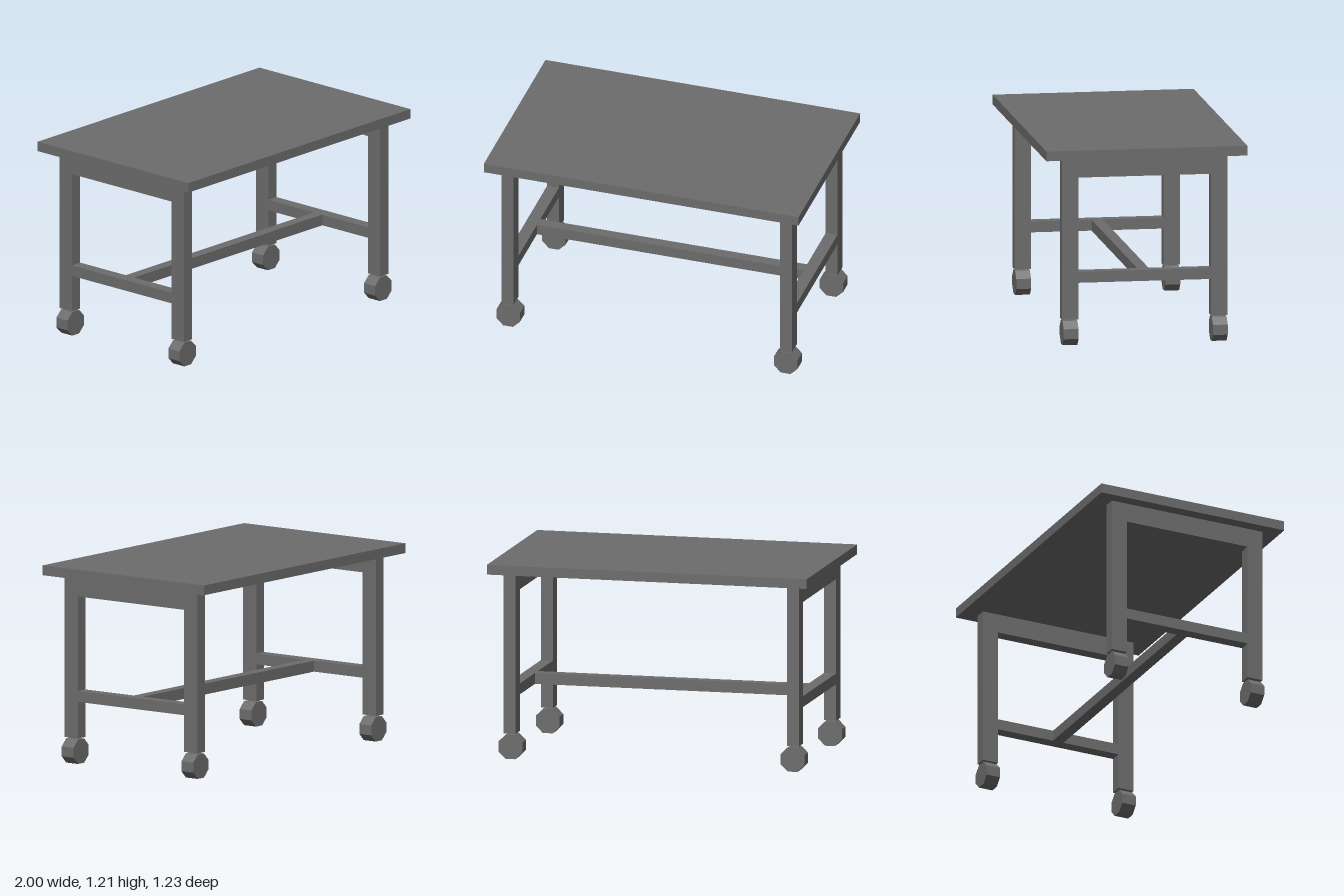
import * as THREE from 'three';

export function createModel() {
  const group = new THREE.Group();
  group.name = 'rollingTable';
  const greyMetal = new THREE.MeshStandardMaterial({ color: 0x6c6c6c });
  greyMetal.name = 'greyMetal';

  const add = (name, geometry, x, y, z) => {
    const mesh = new THREE.Mesh(geometry, greyMetal);
    mesh.name = name;
    mesh.position.set(x, y, z);
    group.add(mesh);
  };

  // Flat slab top
  add('tabletop', new THREE.BoxGeometry(2, 0.06, 1.234), 0, 1.18, 0);

  // End frame: two legs, apron and low rail in one flush profile
  const outer = 0.508, inner = 0.407, thickness = 0.075;
  const railBottom = 0.383, railTop = 0.45;
  const profile = new THREE.Shape([
    [-outer, 0.158], [-inner, 0.158], [-inner, railBottom], [inner, railBottom],
    [inner, 0.158], [outer, 0.158], [outer, 1.15], [-outer, 1.15],
  ].map(([a, b]) => new THREE.Vector2(a, b)));
  profile.holes.push(new THREE.Path([
    [-inner, railTop], [-inner, 1.03], [inner, 1.03], [inner, railTop],
  ].map(([a, b]) => new THREE.Vector2(a, b))));
  const frame = new THREE.ExtrudeGeometry(profile, { depth: thickness, bevelEnabled: false });
  frame.translate(0, 0, -thickness / 2);
  frame.rotateY(Math.PI / 2);

  // Eight-sided wheel resting on a flat, axle along z
  const wheel = new THREE.CylinderGeometry(0.0805, 0.0805, 0.091, 8).toNonIndexed();
  wheel.rotateY(Math.PI / 8);
  wheel.rotateX(Math.PI / 2);
  wheel.computeVertexNormals();

  for (const side of [-1, 1]) {
    const label = side > 0 ? 'left' : 'right';
    add(label + 'EndFrame', frame, side * 0.885, 0, 0);
    for (const end of [-1, 1]) {
      add(label + (end > 0 ? 'Front' : 'Back') + 'Wheel', wheel, side * 0.882, 0.0745, end * 0.458);
    }
  }

  // Long stretcher joining the two low rails
  add('stretcher', new THREE.BoxGeometry(1.695, railTop - railBottom, 0.07), 0, (railTop + railBottom) / 2, 0);

  return group;
}
